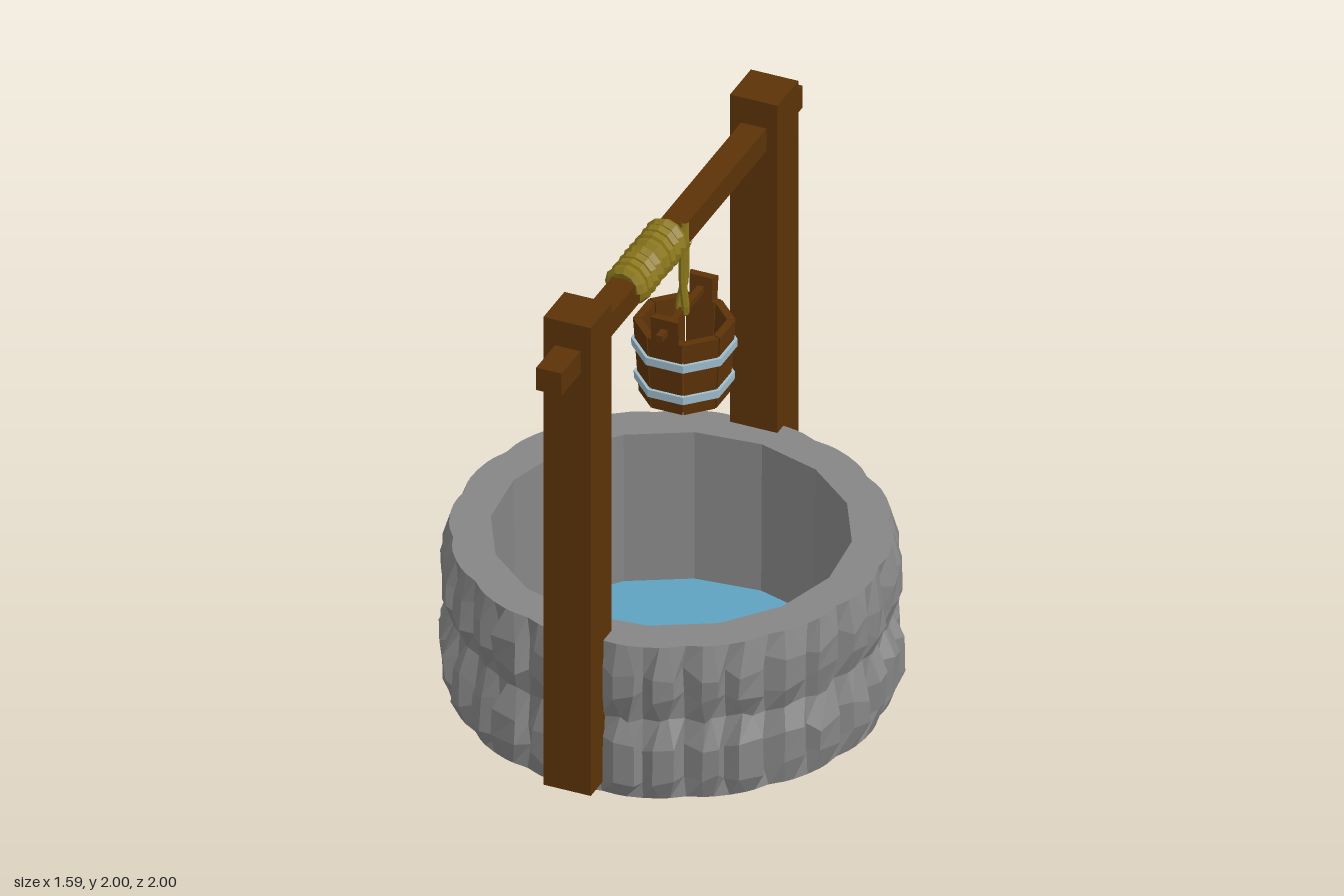
import * as THREE from 'three';

const mat = (name, color, side = THREE.FrontSide) => {
  const m = new THREE.MeshStandardMaterial({ color, side });
  m.name = name;
  return m;
};

// Split every face so that it is shaded flat
function flat(geo) {
  const g = geo.index ? geo.toNonIndexed() : geo;
  g.computeVertexNormals();
  return g;
}

function add(parent, name, geo, material, x = 0, y = 0, z = 0) {
  const m = new THREE.Mesh(flat(geo), material);
  m.name = name;
  m.position.set(x, y, z);
  parent.add(m);
  return m;
}

function seeded(seed) {
  return () => {
    seed = (seed * 16807) % 2147483647;
    return seed / 2147483647 - 0.5;
  };
}

const STONES = 32;
const SIDE = Math.PI / 8;

// Radius factor of a regular 16-sided outline
const poly = (a) => Math.cos(SIDE / 2) / Math.cos((((a % SIDE) + SIDE) % SIDE) - SIDE / 2);

// Closed wall: foot, two courses of rough-cut stones, rim and inner face
function wallGeometry() {
  const rnd = seeded(77);
  // y, radius at the joint, radius at the stone face, half width of face, jitter
  const rows = [
    [0, 0.62, 0.62, 0.2, 0], [0.08, 0.62, 0.62, 0.2, 0],
    [0.08, 0.757, 0.765, 0.12, 0], [0.165, 0.752, 0.797, 0.24, 1], [0.28, 0.752, 0.797, 0.24, 1],
    [0.38, 0.745, 0.755, 0.1, 0.5],
    [0.48, 0.752, 0.793, 0.24, 1], [0.58, 0.752, 0.793, 0.24, 1], [0.685, 0.757, 0.765, 0.12, 0],
    [0.685, 0.618, 0.618, 0.2, 0], [0, 0.612, 0.612, 0.2, 0],
  ];
  const cols = STONES * 3;
  const shift = Array.from({ length: cols }, () => rnd() * 0.22);
  const grid = rows.map(([y, joint, face, half, jit]) => {
    const line = [];
    for (let i = 0; i < cols; i++) {
      const k = i % 3;
      const f = k === 0 ? 0 : 0.5 + (k === 1 ? -half : half);
      const a = ((Math.floor(i / 3) + f + (shift[i] + rnd() * 0.04) * jit) / STONES) * Math.PI * 2;
      const r = ((k === 0 ? joint : face) + rnd() * 0.014 * jit) * poly(a);
      line.push([r * Math.cos(a), y + rnd() * 0.045 * jit, r * Math.sin(a)]);
    }
    return line;
  });
  const pos = [];
  for (let j = 0; j < rows.length - 1; j++) {
    for (let i = 0; i < cols; i++) {
      const n = (i + 1) % cols;
      const a = grid[j][i], b = grid[j + 1][i], c = grid[j + 1][n], d = grid[j][n];
      pos.push(...a, ...b, ...d, ...b, ...c, ...d);
    }
  }
  const g = new THREE.BufferGeometry();
  g.setAttribute('position', new THREE.Float32BufferAttribute(pos, 3));
  return g;
}

// Outer flat-to-centre distance of the bucket at height y
const bucketRadius = (y) => 0.144 + ((y - 1.24) / 0.29) * 0.018;

// One tapered plank of the eight-sided bucket, facing +z
function staveGeometry(y0, y1, fill) {
  const g = new THREE.BoxGeometry(2, 1, 1);
  const p = g.attributes.position;
  for (let i = 0; i < p.count; i++) {
    const y = p.getY(i) > 0 ? y1 : y0;
    const z = bucketRadius(y) - (p.getZ(i) > 0 ? 0 : 0.028);
    p.setXYZ(i, Math.sign(p.getX(i)) * z * Math.tan(Math.PI / 8) * fill, y, z);
  }
  return g;
}

// Eight-sided flat hoop
function hoopGeometry(y) {
  const k = 1 / Math.cos(Math.PI / 8);
  const r = bucketRadius(y);
  const pts = [[r - 0.006, -0.016], [r + 0.01, -0.015], [r + 0.011, 0.015], [r - 0.006, 0.016]]
    .map(([x, h]) => new THREE.Vector2(x * k, y + h));
  return new THREE.LatheGeometry(pts, 8, Math.PI / 8);
}

export function createModel() {
  const stone = mat('stone', 0x868686);
  const wood = mat('wood', 0x5c3308);
  const rope = mat('rope', 0x8c781c);
  const metal = mat('hoop metal', 0x9fbccb);
  const water = mat('water', 0x5fa2c0, THREE.DoubleSide);

  const well = new THREE.Group();
  well.name = 'well';

  add(well, 'stoneWall', wallGeometry(), stone);
  const pool = add(well, 'water', new THREE.CircleGeometry(0.616, 16), water, 0, 0.1, 0);
  pool.rotation.x = -Math.PI / 2;

  // Winch frame, turned slightly about the well
  const frame = new THREE.Group();
  frame.name = 'winchFrame';
  frame.position.x = -0.008;
  frame.rotation.y = 0.1;
  well.add(frame);
  add(frame, 'frontPost', new THREE.BoxGeometry(0.176, 1.88, 0.174), wood, -0.002, 1.06, 0.757);
  add(frame, 'backPost', new THREE.BoxGeometry(0.176, 1.88, 0.174), wood, 0, 1.06, -0.788);
  add(frame, 'crossBeam', new THREE.BoxGeometry(0.094, 0.09, 2), wood, 0, 1.853, 0);

  // Rope wound tightly round the beam
  const turns = 8;
  const coil = [];
  for (let i = 0; i <= turns * 8; i++) {
    const a = (i / 8) * Math.PI * 2;
    coil.push(new THREE.Vector3(0.06 * Math.cos(a), 1.862 - 0.06 * Math.sin(a), -0.005 + (i / 8) * 0.0465));
  }
  add(frame, 'ropeCoil', new THREE.TubeGeometry(new THREE.CatmullRomCurve3(coil), turns * 12, 0.024, 6), rope);

  // Doubled rope looped under the handle
  const loop = [[0.054, 1.92, 0.008], [0.054, 1.7, 0.008], [0.062, 1.572, 0.004], [0.047, 1.555, -0.006],
    [0.032, 1.572, -0.014], [0.05, 1.7, -0.018], [0.05, 1.92, -0.018]]
    .map((p) => new THREE.Vector3(...p));
  add(frame, 'hangingRope', new THREE.TubeGeometry(new THREE.CatmullRomCurve3(loop), 28, 0.014, 6), rope);

  // Bucket
  const bucket = new THREE.Group();
  bucket.name = 'bucket';
  bucket.position.set(0.048, 0, -0.018);
  frame.add(bucket);
  for (let i = 0; i < 8; i++) {
    const stave = add(bucket, 'stave', staveGeometry(1.24, 1.53, 0.96), wood);
    stave.rotation.y = (i * Math.PI) / 4;
    if (i % 4 === 0) {
      const ear = add(bucket, 'handleEar', staveGeometry(1.53, 1.62, 0.75), wood);
      ear.rotation.y = stave.rotation.y;
    }
  }
  const floor = add(bucket, 'bucketFloor', new THREE.CylinderGeometry(0.144, 0.144, 0.025, 8), wood, 0, 1.256, 0);
  floor.rotation.y = Math.PI / 8;
  add(bucket, 'handle', new THREE.BoxGeometry(0.024, 0.024, 0.42), wood, 0, 1.57, 0);
  for (const y of [1.305, 1.437]) add(bucket, 'hoop', hoopGeometry(y), metal);

  return well;
}
